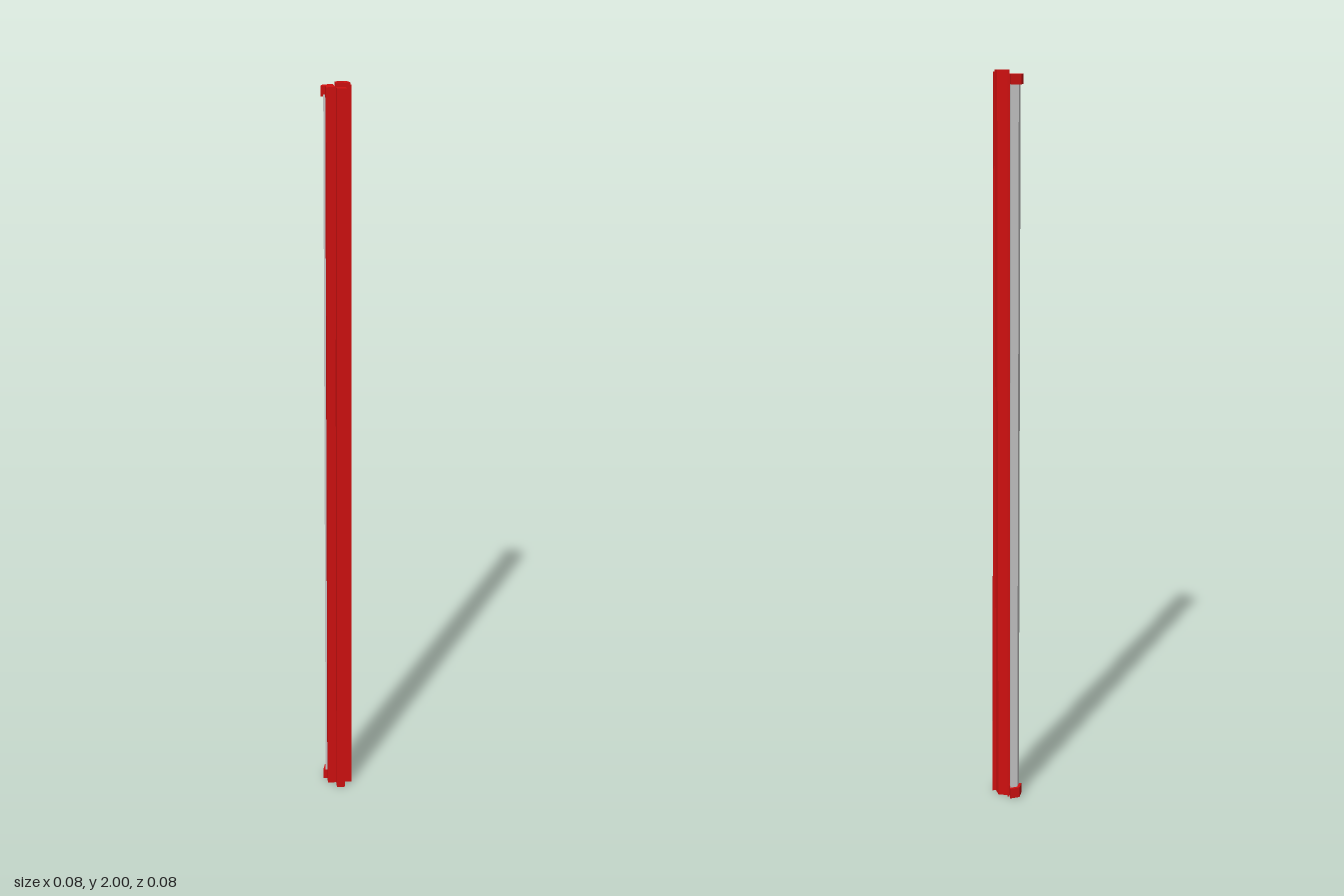
import * as THREE from 'three';

const red = new THREE.MeshStandardMaterial({ color: 0xd01010, flatShading: true });
const grey = new THREE.MeshStandardMaterial({ color: 0xcccccc, flatShading: true });

export function createModel() {
  const group = new THREE.Group();

  const add = (name, geometry, material = red) => {
    const mesh = new THREE.Mesh(geometry, material);
    mesh.name = name;
    group.add(mesh);
    return mesh;
  };

  // Upright prism from a plan outline of [x, z] points
  const toPath = (points) => points.map(([x, z]) => new THREE.Vector2(x, -z));
  const prism = (points, y0, y1, hole) => {
    const shape = new THREE.Shape(toPath(points));
    if (hole) shape.holes.push(new THREE.Path(toPath(hole)));
    const g = new THREE.ExtrudeGeometry(shape, { depth: y1 - y0, bevelEnabled: false });
    return g.rotateX(-Math.PI / 2).translate(0, y0, 0);
  };
  const rect = (x0, x1, z0, z1) => [[x0, z0], [x1, z0], [x1, z1], [x0, z1]];

  // Two outer rails meeting at the core
  add('sideRail', prism(rect(-0.029, -0.006, -0.009, 0.015), 0, 1.99));
  add('frontRail', prism(rect(-0.005, 0.019, 0.016, 0.04), 0, 1.99));

  // Square core with stepped recesses at both ends
  const core = rect(-0.006, 0.019, -0.009, 0.016);
  const socket = rect(-0.002, 0.015, -0.005, 0.012);
  const plug = rect(0.002, 0.011, -0.001, 0.008);
  add('coreTube', prism(core, 0, 2, socket));
  add('coreInsert', prism(socket, 0.008, 1.992, plug));
  add('corePlug', prism(plug, 0.012, 1.988));

  // Angled cover wrapped around the outer corner of the core
  add('cornerCover', prism([
    [0, -0.021], [0.025, -0.016], [0.03, 0.009], [0.03, 0.015],
    [0.019, 0.015], [0.019, -0.009], [0, -0.009],
  ], 0, 2));

  // Thin fins that reach slightly further out towards the bottom
  const fin = (name, base, tip) => {
    const g = prism(base, 0, 1.995);
    const p = g.attributes.position;
    for (let i = 0; i < p.count; i++) {
      const spread = 0.007 * (1 - p.getY(i) / 1.995);
      tip(p, i, spread);
    }
    g.computeVertexNormals();
    add(name, g);
  };
  fin('sideFin', rect(0.019, 0.033, 0.009, 0.015), (p, i, d) => {
    if (p.getX(i) > 0.03) p.setX(i, p.getX(i) + d);
  });
  fin('backFin', rect(-0.005, 0, -0.023, -0.009), (p, i, d) => {
    if (p.getZ(i) < -0.02) p.setZ(i, p.getZ(i) - d);
  });

  // Pale strip set into the inner corner, held by a cap at each end
  add('insetStrip', prism([
    [-0.034, -0.009], [-0.028, -0.029], [-0.008, -0.035], [-0.008, -0.009],
  ], 0.03, 1.97), grey);
  const cap = [[-0.041, -0.009], [-0.034, -0.035], [-0.007, -0.042], [-0.007, -0.009]];
  add('bottomCap', prism(cap, 0, 0.03));
  add('topCap', prism(cap, 1.965, 1.99));

  return group;
}
